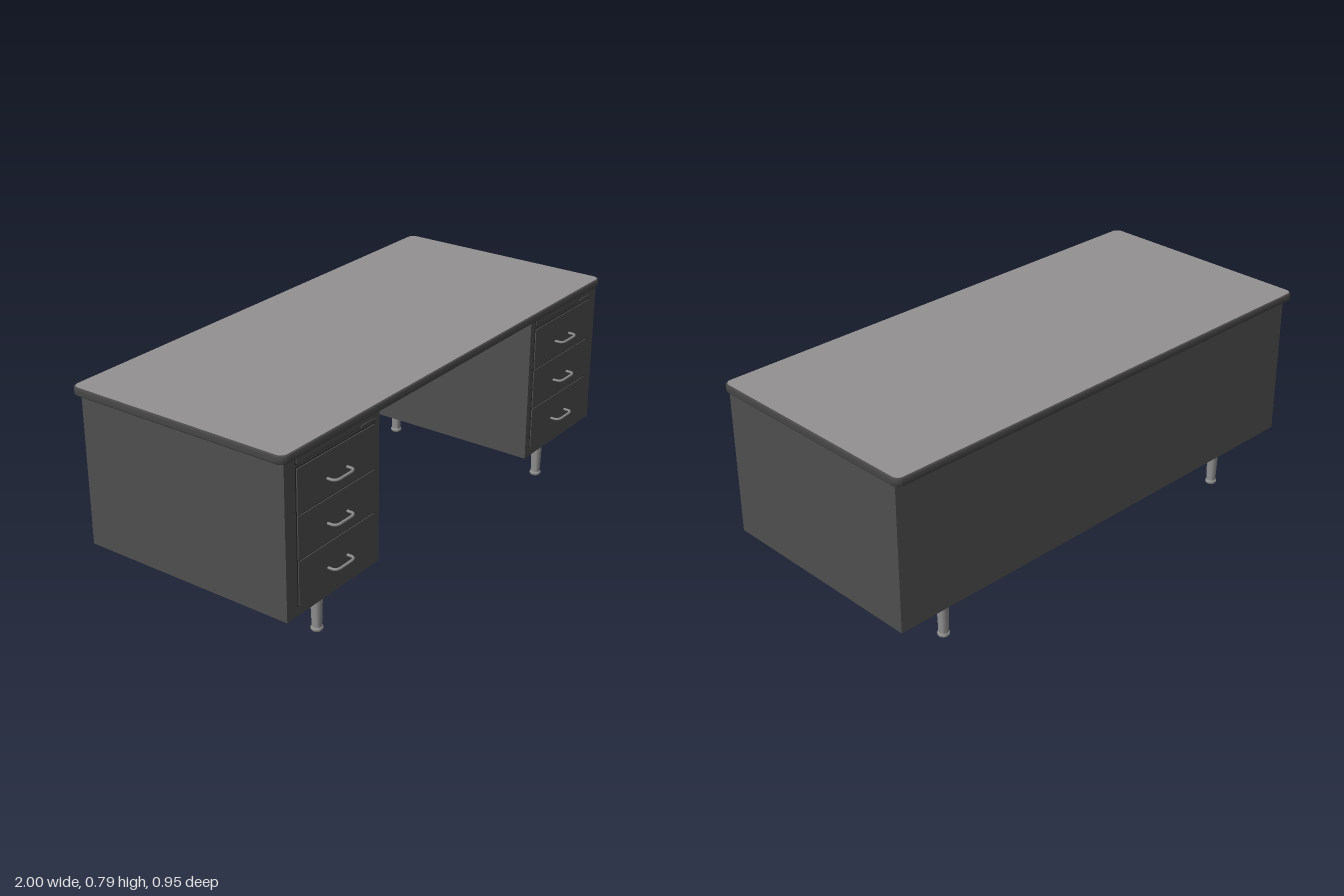
import * as THREE from 'three';
import { toCreasedNormals } from 'three/addons/utils/BufferGeometryUtils.js';

const paint = (name, color) => {
  const m = new THREE.MeshStandardMaterial({ color });
  m.name = name;
  return m;
};

// Rounded rectangle outline centred on the origin
function roundedRect(w, d, r) {
  const x = w / 2, y = d / 2, s = new THREE.Shape();
  s.moveTo(-x + r, -y);
  s.lineTo(x - r, -y);
  s.absarc(x - r, -y + r, r, -Math.PI / 2, 0);
  s.lineTo(x, y - r);
  s.absarc(x - r, y - r, r, 0, Math.PI / 2);
  s.lineTo(-x + r, y);
  s.absarc(-x + r, y - r, r, Math.PI / 2, Math.PI);
  s.lineTo(-x, -y + r);
  s.absarc(-x + r, -y + r, r, Math.PI, Math.PI * 1.5);
  return s;
}

export function createModel() {
  const steel = paint('dark grey steel', 0x4e4e4e);
  const trim = paint('dark edge trim', 0x464646);
  const shadowGap = paint('drawer gap', 0x2c2c2c);
  const laminate = paint('grey laminate', 0x939192);
  const metal = paint('brushed metal', 0x8c8c8c);

  const desk = new THREE.Group();
  desk.name = 'desk';

  const add = (parent, name, geo, mat, x = 0, y = 0, z = 0) => {
    const mesh = new THREE.Mesh(geo, mat);
    mesh.name = name;
    mesh.position.set(x, y, z);
    parent.add(mesh);
    return mesh;
  };
  // Box given by its limits on each axis
  const box = (parent, name, mat, [x0, x1], [y0, y1], [z0, z1]) =>
    add(parent, name, new THREE.BoxGeometry(x1 - x0, y1 - y0, z1 - z0), mat,
      (x0 + x1) / 2, (y0 + y1) / 2, (z0 + z1) / 2);

  // Table top: trimmed slab with a thin laminate sheet
  const topZ = -0.0165;
  const slab = new THREE.ExtrudeGeometry(roundedRect(1.988, 0.903, 0.026), {
    depth: 0.016, bevelEnabled: true, bevelSize: 0.006, bevelThickness: 0.0075,
    bevelSegments: 4, curveSegments: 8,
  });
  slab.rotateX(-Math.PI / 2);
  add(desk, 'topEdge', toCreasedNormals(slab, 0.7), trim, 0, 0.7625, topZ);
  const sheet = new THREE.ExtrudeGeometry(roundedRect(1.988, 0.903, 0.026), {
    depth: 0.002, bevelEnabled: false, curveSegments: 8,
  });
  sheet.rotateX(-Math.PI / 2);
  add(desk, 'topSheet', sheet, laminate, 0, 0.785, topZ);

  // Modesty panel across the back of the kneehole
  box(desk, 'backPanel', steel, [-0.49, 0.49], [0.187, 0.757], [-0.44, -0.428]);

  // Drawer pull: a flattened U-shaped bar
  const v = (x, z) => new THREE.Vector3(x, 0, z);
  const pullPath = new THREE.CurvePath();
  pullPath.add(new THREE.LineCurve3(v(-0.052, 0), v(-0.052, 0.02)));
  pullPath.add(new THREE.QuadraticBezierCurve3(v(-0.052, 0.02), v(-0.05, 0.034), v(-0.03, 0.036)));
  pullPath.add(new THREE.LineCurve3(v(-0.03, 0.036), v(0.03, 0.036)));
  pullPath.add(new THREE.QuadraticBezierCurve3(v(0.03, 0.036), v(0.05, 0.034), v(0.052, 0.02)));
  pullPath.add(new THREE.LineCurve3(v(0.052, 0.02), v(0.052, 0)));
  const pullGeo = new THREE.TubeGeometry(pullPath, 40, 0.005, 8);

  // Tapered leg with a rounded foot
  const legGeo = new THREE.LatheGeometry([
    [0, 0], [0.019, 0], [0.022, 0.004], [0.022, 0.011], [0.018, 0.015],
    [0.018, 0.018], [0.0235, 0.182],
  ].map(([r, y]) => new THREE.Vector2(r, y)), 24);
  const leg = toCreasedNormals(legGeo, 0.6);

  for (const side of [-1, 1]) {
    const pedestal = new THREE.Group();
    pedestal.name = side > 0 ? 'leftPedestal' : 'rightPedestal';
    desk.add(pedestal);
    const span = (a, b) => (side > 0 ? [a, b] : [-b, -a]);

    box(pedestal, 'cabinet', steel, span(0.485, 0.982), [0.187, 0.757], [-0.44, 0.428]);
    box(pedestal, 'drawerSurround', shadowGap, span(0.511, 0.929), [0.222, 0.721], [0.427, 0.429]);

    // Three drawers with pulls
    const drawers = [[0.225, 0.386, 0.295], [0.392, 0.549, 0.46], [0.555, 0.716, 0.622]];
    for (const [y0, y1, pullY] of drawers) {
      box(pedestal, 'drawerFront', steel, span(0.516, 0.924), [y0, y1], [0.425, 0.433]);
      add(pedestal, 'drawerPull', pullGeo, metal, side * 0.72, pullY, 0.431);
    }

    // Slide-out writing board with a finger tab at its right end
    box(pedestal, 'boardGap', shadowGap, span(0.511, 0.929), [0.729, 0.755], [0.427, 0.429]);
    box(pedestal, 'writingBoard', steel, span(0.516, 0.924), [0.733, 0.753], [0.425, 0.432]);
    const tabX = side > 0 ? 0.885 : -0.555;
    box(pedestal, 'boardTab', trim, [tabX - 0.037, tabX + 0.037], [0.73, 0.738], [0.425, 0.436]);

    // Legs on square mounting plates
    for (const z of [0.344, -0.35]) {
      add(pedestal, 'leg', leg, metal, side * 0.724, 0, z);
      add(pedestal, 'legPlate', new THREE.BoxGeometry(0.09, 0.006, 0.09), metal, side * 0.724, 0.185, z);
    }
  }
  return desk;
}
